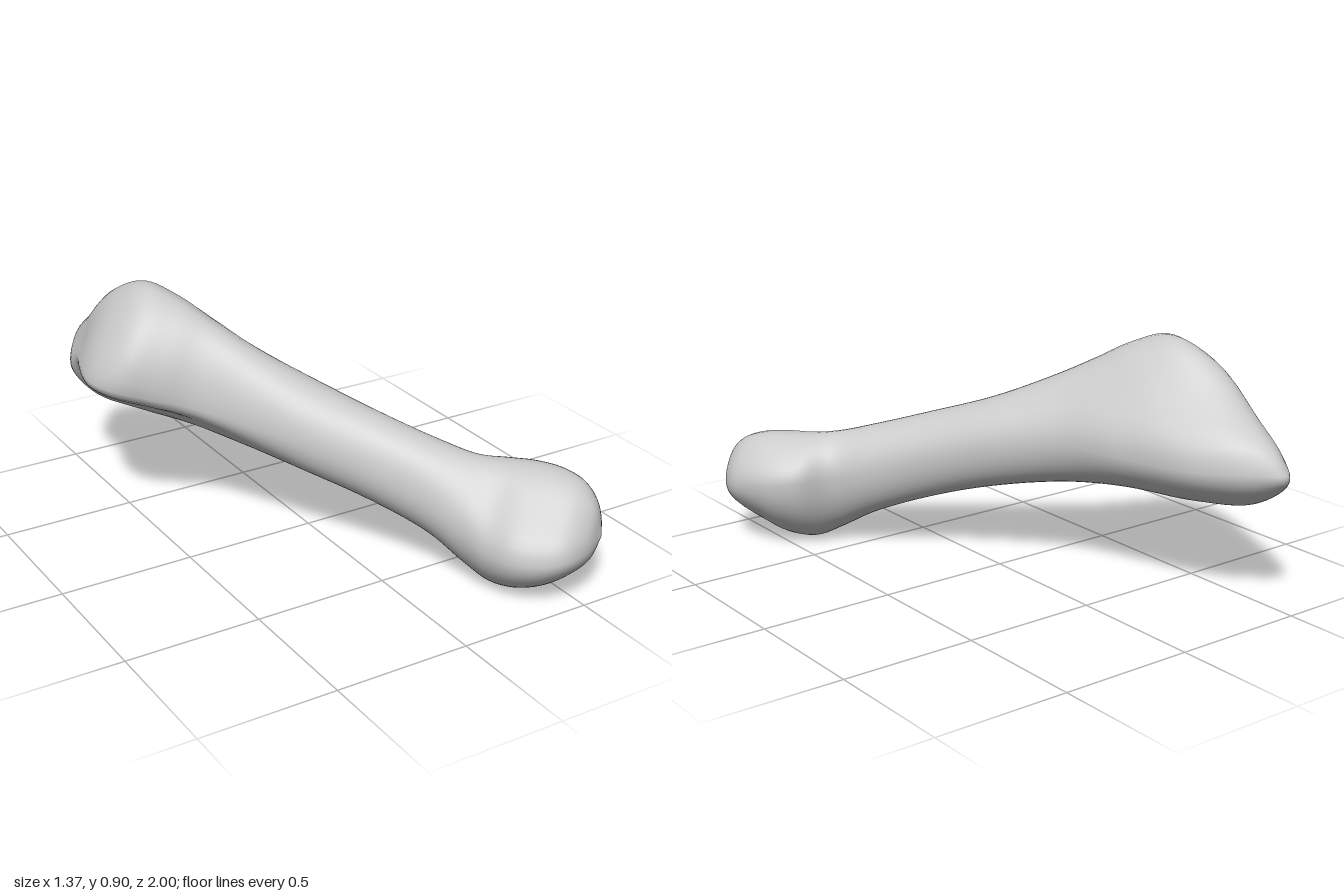
import * as THREE from 'three';
import { mergeVertices } from 'three/addons/utils/BufferGeometryUtils.js';

// Each cross-section: [s, k, tLeft, yLeft, tRight, yRight, tTop, yTop, tBottom, yBottom]
// s runs along the bone, t across it, k is how far the section leans to the oblique base face.
const BASE = [
  [-0.87, 1, -0.21, 0.61, 0.18, 0.55, -0.03, 0.76, 0.07, 0.50],
  [-0.825, 1, -0.305, 0.59, 0.268, 0.52, -0.04, 0.85, 0.11, 0.435],
  [-0.72, 0.9, -0.335, 0.58, 0.295, 0.52, -0.06, 0.90, 0.11, 0.367],
  [-0.55, 0.75, -0.29, 0.55, 0.28, 0.51, -0.07, 0.86, 0.07, 0.35],
  [-0.38, 0.5, -0.24, 0.52, 0.19, 0.51, -0.08, 0.795, 0.00, 0.355],
];
const SHAFT = [
  [-0.20, 0.25, -0.23, 0.49, 0.10, 0.51, -0.09, 0.72, -0.05, 0.335],
  [0.05, 0, -0.228, 0.44, 0.06, 0.46, -0.09, 0.62, -0.08, 0.282],
  [0.30, 0, -0.227, 0.37, 0.035, 0.39, -0.10, 0.54, -0.09, 0.213],
  [0.52, 0, -0.235, 0.29, 0.028, 0.32, -0.10, 0.475, -0.10, 0.13],
  [0.66, 0, -0.26, 0.22, 0.035, 0.29, -0.09, 0.44, -0.13, 0.05],
];
const HEAD = [
  [0.76, 0, -0.30, 0.18, 0.108, 0.28, -0.07, 0.43, -0.14, 0.005],
  [0.86, 0, -0.337, 0.18, 0.127, 0.27, -0.06, 0.43, -0.15, 0.01],
  [0.96, 0, -0.328, 0.18, 0.108, 0.26, -0.06, 0.42, -0.17, 0.05],
  [1.04, 0, -0.29, 0.19, 0.07, 0.24, -0.07, 0.39, -0.16, 0.10],
  [1.095, 0, -0.205, 0.20, 0.00, 0.23, -0.09, 0.33, -0.13, 0.145],
];

// how much each quarter is flattened or hollowed: top right, bottom right, bottom left, top left
const BASE_DENT = [0.16, 0.05, 0.26, 0.04];
const HEAD_DENT = [0.05, 0.02, 0.03, 0.10];

const AROUND = 48, ALONG = 96;

// bone coordinates (along, across, height) to model space
const place = (s, t, y) => new THREE.Vector3(0.61 * s + 0.79 * t, y, 0.79 * s - 0.61 * t);

// point on a section: four elliptic quarters joined at top, right, bottom and left
function sectionPoint([s, k, tL, yL, tR, yR, tT, yT, tB, yB], angle) {
  const sin = Math.sin(angle), cos = Math.cos(angle);
  const right = sin >= 0, top = cos >= 0;
  const quarter = right ? (top ? 0 : 1) : (top ? 3 : 2);
  const head = THREE.MathUtils.smoothstep(s, 0.55, 0.8);
  const dent = (k * BASE_DENT[quarter] + head * HEAD_DENT[quarter]) * Math.sin(2 * angle) ** 2;
  const a = Math.abs(sin) - dent, b = Math.abs(cos) - dent;
  const tc = top ? tT : tB, yc = right ? yR : yL;
  const t = tc + ((right ? tR : tL) - tc) * a;
  const y = yc + ((top ? yT : yB) - yc) * b;
  return place(s + k * (-0.53 * (t + 0.1) + 0.5 * (y - 0.6)), t, y);
}

function loft(sections, startPole, endPole) {
  const pos = [], index = [];
  for (let j = 0; j < AROUND; j++) {
    const angle = (j / AROUND) * Math.PI * 2;
    const curve = new THREE.CatmullRomCurve3(
      [startPole, ...sections.map((row) => sectionPoint(row, angle)), endPole]);
    for (let i = 0; i <= ALONG; i++) pos.push(...curve.getPoint(i / ALONG).toArray());
  }
  const id = (i, j) => (j % AROUND) * (ALONG + 1) + i;
  for (let j = 0; j < AROUND; j++) {
    for (let i = 0; i < ALONG; i++) {
      const a = id(i, j), b = id(i + 1, j), c = id(i, j + 1), d = id(i + 1, j + 1);
      if (i > 0) index.push(a, b, c);
      if (i < ALONG - 1) index.push(b, d, c);
    }
  }
  const geo = new THREE.BufferGeometry();
  geo.setAttribute('position', new THREE.Float32BufferAttribute(pos, 3));
  geo.setIndex(index);
  const merged = mergeVertices(geo, 1e-5);      // joins the poles for smooth shading
  merged.computeVertexNormals();
  return merged;
}

export function createModel() {
  const group = new THREE.Group();
  group.name = 'footBone';

  const geo = loft([...BASE, ...SHAFT, ...HEAD], place(-0.92, 0, 0.61), place(1.122, -0.1, 0.22));

  // settle on the ground, centred
  geo.computeBoundingBox();
  const mid = geo.boundingBox.getCenter(new THREE.Vector3());
  geo.translate(-mid.x, -geo.boundingBox.min.y, -mid.z);

  const bone = new THREE.Mesh(geo, new THREE.MeshStandardMaterial({ color: 0xcccccc }));
  bone.name = 'bone';
  group.add(bone);
  return group;
}
